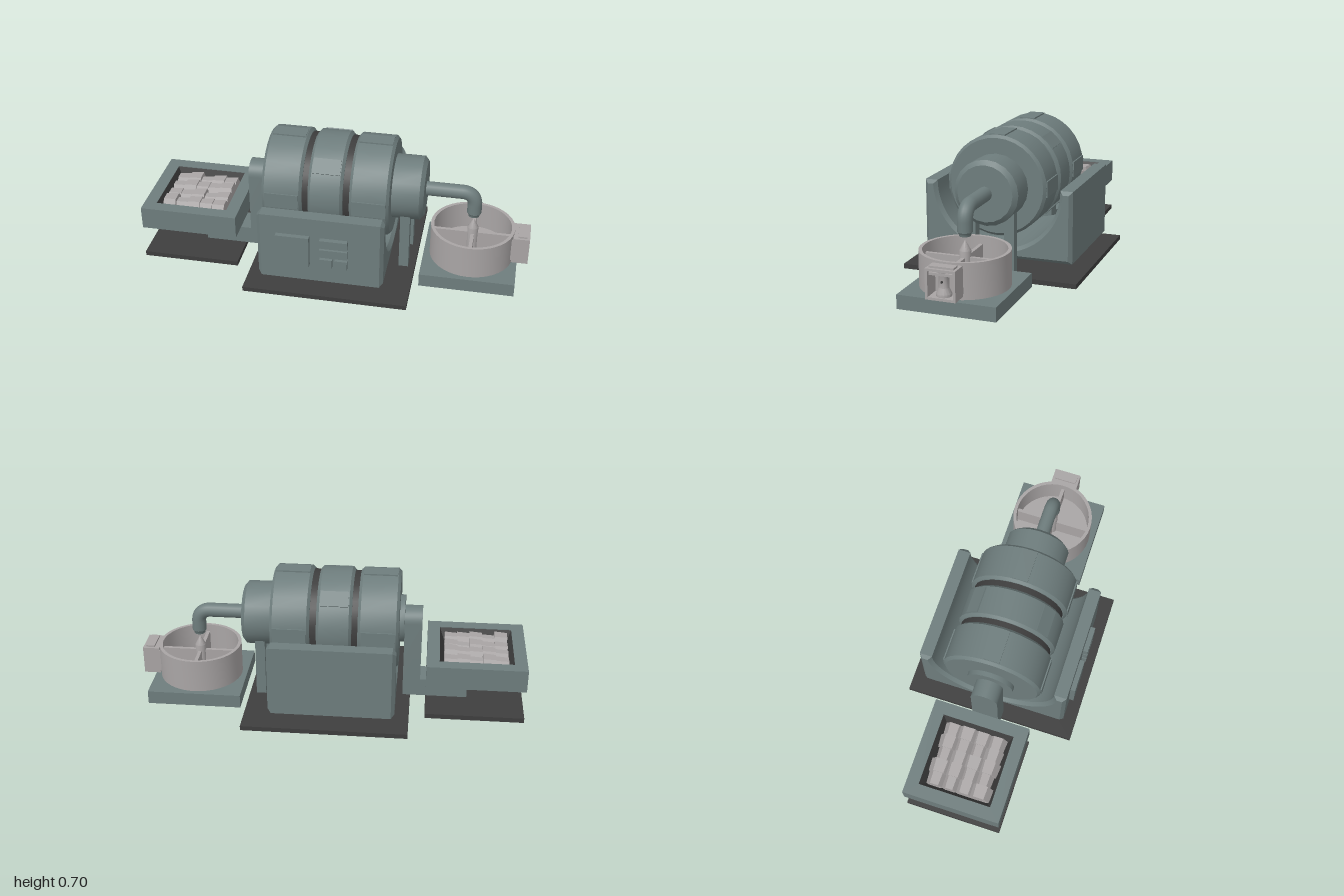
import * as THREE from 'three';
import { toCreasedNormals } from 'three/addons/utils/BufferGeometryUtils.js';

const slate = new THREE.MeshStandardMaterial({ color: 0x6e7d7d });
slate.name = 'slate';
const dark = new THREE.MeshStandardMaterial({ color: 0x3e3e3e, side: THREE.DoubleSide });
dark.name = 'dark';
const light = new THREE.MeshStandardMaterial({ color: 0xa9a5a5 });
light.name = 'light';

const AXIS = 0.44; // height of the drum axis

function add(parent, name, geo, mat, x = 0, y = 0, z = 0) {
  const mesh = new THREE.Mesh(geo, mat);
  mesh.name = name;
  mesh.position.set(x, y, z);
  parent.add(mesh);
  return mesh;
}

// Box given by its min and max on each axis
function box(parent, name, mat, x0, x1, y0, y1, z0, z1) {
  return add(parent, name, new THREE.BoxGeometry(x1 - x0, y1 - y0, z1 - z0), mat,
    (x0 + x1) / 2, (y0 + y1) / 2, (z0 + z1) / 2);
}

const turned = (pts, sides) => toCreasedNormals(
  new THREE.LatheGeometry(pts.map(p => new THREE.Vector2(...p)), sides), 0.5);

// Turned part lying along x; points are [radius, x]
const turnedX = (parent, name, mat, pts, sides) =>
  add(parent, name, turned(pts, sides).rotateZ(-Math.PI / 2), mat, 0, AXIS, 0);

// Square frustum given by half widths
const frustum = (top, bottom, h, open = false) =>
  new THREE.CylinderGeometry(top * Math.SQRT2, bottom * Math.SQRT2, h, 4, 1, open)
    .rotateY(Math.PI / 4).toNonIndexed();

function buildDrum(root) {
  const drum = new THREE.Group();
  drum.name = 'drum';
  root.add(drum);
  const R = 0.257, c = 0.014;
  for (const [a, b] of [[-0.35, -0.145], [-0.115, 0.062], [0.095, 0.295]]) {
    turnedX(drum, 'drumSection', slate,
      [[0, a], [R - c, a], [R, a + c], [R, b - c], [R - c, b], [0, b]], 32);
  }
  turnedX(drum, 'drumCore', dark, [[0.238, -0.15], [0.238, 0.1]], 32);
  turnedX(drum, 'rearCap', slate, [[0, -0.375], [0.122, -0.375], [0.122, -0.35]], 24);
  turnedX(drum, 'frontCollar', slate,
    [[0.165, 0.29], [0.165, 0.435], [0.142, 0.455], [0, 0.455]], 20);

  // Raised cover plates round the drum
  const plate = (x, w, angle) => {
    const arm = new THREE.Group();
    arm.name = 'coverPlate';
    arm.position.set(x, AXIS, 0);
    arm.rotation.x = angle;
    add(arm, 'plate', new THREE.BoxGeometry(w, 0.012, 0.08), slate, 0, 0.254, 0);
    drum.add(arm);
  };
  for (let i = 0; i < 4; i++) {
    plate(-0.0265, 0.14, (i + 0.5) * Math.PI / 2);
    plate(-0.2475, 0.17, i * Math.PI / 2);
    plate(0.195, 0.17, i * Math.PI / 2);
  }
}

function buildCradle(root) {
  const cradle = new THREE.Group();
  cradle.name = 'cradle';
  root.add(cradle);
  const s = new THREE.Shape();
  s.moveTo(-0.39, 0.07);
  s.lineTo(0.39, 0.07);
  s.lineTo(0.39, AXIS);
  s.lineTo(0.325, AXIS);
  s.absarc(0, AXIS, 0.325, 0, Math.PI, true);
  s.lineTo(-0.39, AXIS);
  s.closePath();
  const geo = new THREE.ExtrudeGeometry(s, {
    depth: 0.604, bevelEnabled: true, bevelThickness: 0.018, bevelSize: 0.018,
    bevelOffset: -0.018, bevelSegments: 1, curveSegments: 20,
  }).translate(0, 0, -0.302).rotateY(Math.PI / 2);
  add(cradle, 'cradleBody', toCreasedNormals(geo, 0.4), slate, -0.025, 0, 0);

  // Control panel on the front face
  const panels = [[-0.245, -0.075, 0.17, 0.34], [-0.022, 0.118, 0.29, 0.335],
    [-0.022, 0.118, 0.235, 0.28], [-0.022, 0.042, 0.175, 0.222], [0.054, 0.118, 0.175, 0.222]];
  for (const p of panels) box(cradle, 'controlPanel', slate, ...p, 0.38, 0.415);
}

function buildHopper(root) {
  const hopper = new THREE.Group();
  hopper.name = 'hopper';
  hopper.position.x = -0.7475;
  root.add(hopper);
  const square = (P, h) => new P([[-h, -h], [h, -h], [h, h], [-h, h]].map(p => new THREE.Vector2(...p)));
  const rim = square(THREE.Shape, 0.2525);
  rim.holes.push(square(THREE.Path, 0.188));
  add(hopper, 'rim', new THREE.ExtrudeGeometry(rim, { depth: 0.12, bevelEnabled: false })
    .rotateX(-Math.PI / 2), slate, 0, 0.18, 0);
  const base = frustum(0.2525, 0.13, 0.06);
  base.computeVertexNormals();
  add(hopper, 'taperedBase', base, slate, 0, 0.15, 0);
  const liner = frustum(0.188, 0.155, 0.09, true);
  liner.computeVertexNormals();
  add(hopper, 'liner', liner, dark, 0, 0.252, 0);
  box(hopper, 'pitFloor', dark, -0.18, 0.18, 0.195, 0.207, -0.18, 0.18);

  // Chunks of ore: stepped hexagonal blocks in four rows
  const radii = [0.048, 0.06, 0.042, 0.055, 0.05];
  for (let row = 0; row < 4; row++) {
    for (let i = 0; i < 5; i++) {
      const r = radii[(i + row * 2) % 5];
      const geo = new THREE.CylinderGeometry(r * 0.9, r, 0.066, 6).rotateZ(Math.PI / 2).toNonIndexed();
      geo.computeVertexNormals();
      add(hopper, 'oreChunk', geo, light,
        -0.13 + i * 0.065, 0.25 + (row % 2) * 0.006, -0.117 + row * 0.078);
    }
  }

  // Feed duct with a rounded upright arm
  box(root, 'feedDuct', slate, -0.71, -0.375, 0.025, 0.12, -0.07, 0.07);
  const s = new THREE.Shape();
  s.moveTo(-0.07, 0.025);
  s.lineTo(0.07, 0.025);
  s.lineTo(0.07, AXIS);
  s.absarc(0, AXIS, 0.07, 0, Math.PI, false);
  s.closePath();
  add(root, 'feedArm', toCreasedNormals(
    new THREE.ExtrudeGeometry(s, { depth: 0.09, bevelEnabled: false, curveSegments: 14 })
      .rotateY(Math.PI / 2), 0.5), slate, -0.465, 0, 0);
}

function buildSpout(root) {
  // Pipe bending down over the basin
  const path = new THREE.CurvePath();
  const v = (x, y) => new THREE.Vector3(x, y, 0);
  path.add(new THREE.LineCurve3(v(0.45, AXIS), v(0.64, AXIS)));
  path.add(new THREE.CubicBezierCurve3(v(0.64, AXIS), v(0.68, AXIS), v(0.705, 0.415), v(0.705, 0.375)));
  path.add(new THREE.LineCurve3(v(0.705, 0.375), v(0.705, 0.325)));
  add(root, 'spoutPipe', new THREE.TubeGeometry(path, 40, 0.037, 16), slate);
  add(root, 'spoutTip', turned([[0, 0.305], [0.028, 0.305], [0.03, 0.315], [0.037, 0.326], [0, 0.326]], 16),
    slate, 0.705, 0, 0);
}

function buildBasin(root) {
  const basin = new THREE.Group();
  basin.name = 'basin';
  basin.position.x = 0.705;
  root.add(basin);
  add(basin, 'bowl', turned([[0.217, 0.07], [0.217, 0.245], [0.2, 0.245], [0.2, 0.1], [0, 0.1]], 40), light);
  box(basin, 'rib', light, -0.205, 0.205, 0.1, 0.205, -0.009, 0.009);
  box(basin, 'rib', light, -0.009, 0.009, 0.1, 0.205, -0.205, 0.205);
  add(basin, 'centrePost', turned([[0.028, 0.1], [0.028, 0.235], [0, 0.287]], 16), light);

  // Open outlet box holding a waisted plug
  const outlet = new THREE.Group();
  outlet.name = 'outlet';
  root.add(outlet);
  box(outlet, 'outletFloor', light, 0.915, 1, 0.088, 0.1, -0.073, 0.073);
  box(outlet, 'outletTop', light, 0.915, 1, 0.222, 0.234, -0.073, 0.073);
  for (const s of [-1, 1]) {
    box(outlet, 'outletSide', light, 0.905, 1, 0.1, 0.222, s * 0.067 - 0.006, s * 0.067 + 0.006);
  }
  box(outlet, 'outletLid', light, 0.94, 0.985, 0.234, 0.243, -0.06, 0.06);
  box(outlet, 'outletBar', light, 0.935, 0.985, 0.2, 0.212, -0.061, 0.061);
  add(outlet, 'outletPlug', turned([[0.036, 0.1], [0.036, 0.112], [0.024, 0.14], [0.024, 0.19],
    [0.03, 0.21], [0.03, 0.222]], 16), light, 0.955, 0, 0);
  add(outlet, 'outletPin', new THREE.CylinderGeometry(0.006, 0.006, 0.006, 12).rotateZ(Math.PI / 2),
    dark, 0.979, 0.17, 0);
}

export function createModel() {
  const root = new THREE.Group();
  root.name = 'rotaryMill';
  // Ground plates and plinth
  box(root, 'mainPlate', dark, -0.415, 0.425, 0.001, 0.025, -0.455, 0.455);
  box(root, 'hopperPlate', dark, -1, -0.495, 0, 0.025, -0.2525, 0.2525);
  box(root, 'basinPlinth', slate, 0.46, 0.945, 0, 0.07, -0.243, 0.243);
  // Collar support legs
  for (const s of [-1, 1]) {
    box(root, 'collarLeg', slate, 0.34, 0.39, 0, 0.345, s * 0.1 - 0.025, s * 0.1 + 0.025);
  }
  buildDrum(root);
  buildCradle(root);
  buildHopper(root);
  buildSpout(root);
  buildBasin(root);
  return root;
}
